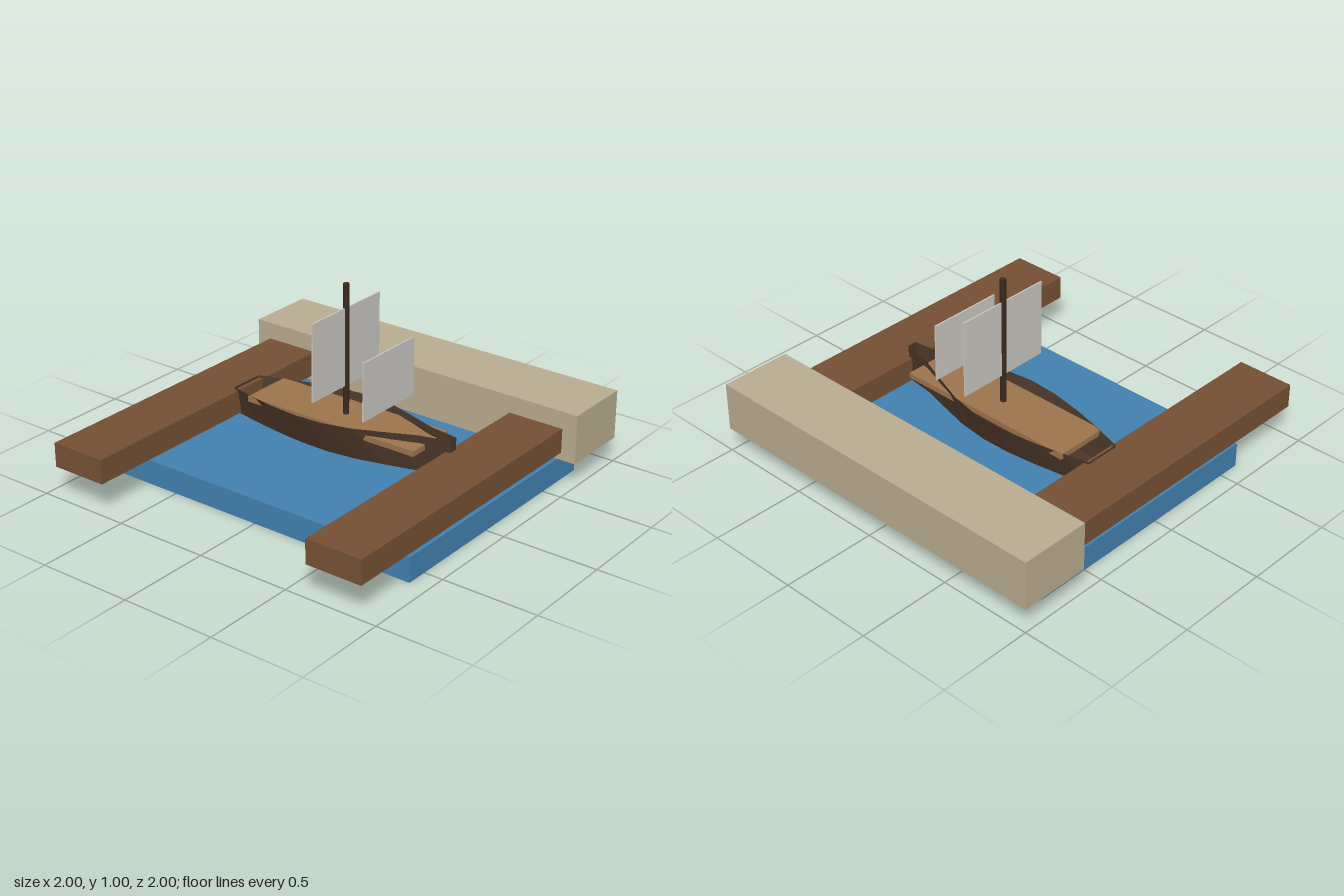
import * as THREE from 'three';

const paint = (name, color, extra = {}) => {
  const m = new THREE.MeshStandardMaterial({ color, ...extra });
  m.name = name;
  return m;
};

// Box given by its minimum and maximum on each axis
function block(name, material, [x0, x1], [y0, y1], [z0, z1]) {
  const mesh = new THREE.Mesh(new THREE.BoxGeometry(x1 - x0, y1 - y0, z1 - z0), material);
  mesh.position.set((x0 + x1) / 2, (y0 + y1) / 2, (z0 + z1) / 2);
  mesh.name = name;
  return mesh;
}

// Open hull: flared cross-sections from stern (-x) to bow (+x)
function hullGeometry() {
  const halfWidths = [0.095, 0.14, 0.175, 0.198, 0.2, 0.172, 0.115, 0.055, 0.025];
  const last = halfWidths.length - 1;
  const sections = halfWidths.map((w, i) => {
    const t = i / last;
    const x = -0.64 + 1.28 * t;
    const rim = 0.31 + 0.052 * t;
    const keel = w * 0.72;
    return [[x, rim, w], [x, 0.16, keel], [x, 0.16, -keel], [x, rim, -w]];
  });
  const pos = [];
  const quad = (a, b, c, d) => pos.push(...a, ...b, ...c, ...a, ...c, ...d);
  for (let i = 0; i < last; i++) {
    const s = sections[i], n = sections[i + 1];
    for (let j = 0; j < 3; j++) quad(s[j], s[j + 1], n[j + 1], n[j]);
  }
  quad(...sections[last]);
  quad(...sections[0].slice().reverse());
  const g = new THREE.BufferGeometry();
  g.setAttribute('position', new THREE.Float32BufferAttribute(pos, 3));
  g.computeVertexNormals();
  return g;
}

export function createModel() {
  const water = paint('water blue', 0x4281af);
  const stone = paint('quay stone', 0xb8ab8f);
  const timber = paint('pier timber', 0x755033);
  const hullWood = paint('hull wood', 0x4a3628, { side: THREE.DoubleSide });
  const deckWood = paint('deck wood', 0x9c734c);
  const mastWood = paint('mast wood', 0x3b2a1e);
  const canvas = paint('sail canvas', 0xc8c6c0);

  const model = new THREE.Group();
  model.name = 'harbour';

  // Harbour basin, quay and the two piers
  model.add(block('water', water, [-0.9, 0.9], [0, 0.13], [-0.79, 0.615]));
  model.add(block('quay', stone, [-1, 1], [0.13, 0.39], [-1, -0.62]));
  model.add(block('leftPier', timber, [0.615, 0.92], [0.17, 0.298], [-0.62, 1]));
  model.add(block('rightPier', timber, [-0.92, -0.615], [0.17, 0.298], [-0.62, 1]));

  // Ship, built around its own centre line
  const ship = new THREE.Group();
  ship.name = 'ship';
  ship.position.z = -0.092;
  const hull = new THREE.Mesh(hullGeometry(), hullWood);
  hull.name = 'hull';
  const mast = new THREE.Mesh(new THREE.CylinderGeometry(0.016, 0.016, 0.71, 8), mastWood);
  mast.name = 'mast';
  mast.position.y = 0.645;
  ship.add(
    hull,
    block('deck', deckWood, [-0.51, 0.51], [0.285, 0.314], [-0.143, 0.143]),
    mast,
    block('mainSail', canvas, [-0.004, 0.004], [0.467, 0.875], [-0.265, 0.265]),
    block('foreSail', canvas, [0.252, 0.26], [0.415, 0.722], [-0.203, 0.203]),
  );
  model.add(ship);
  return model;
}
